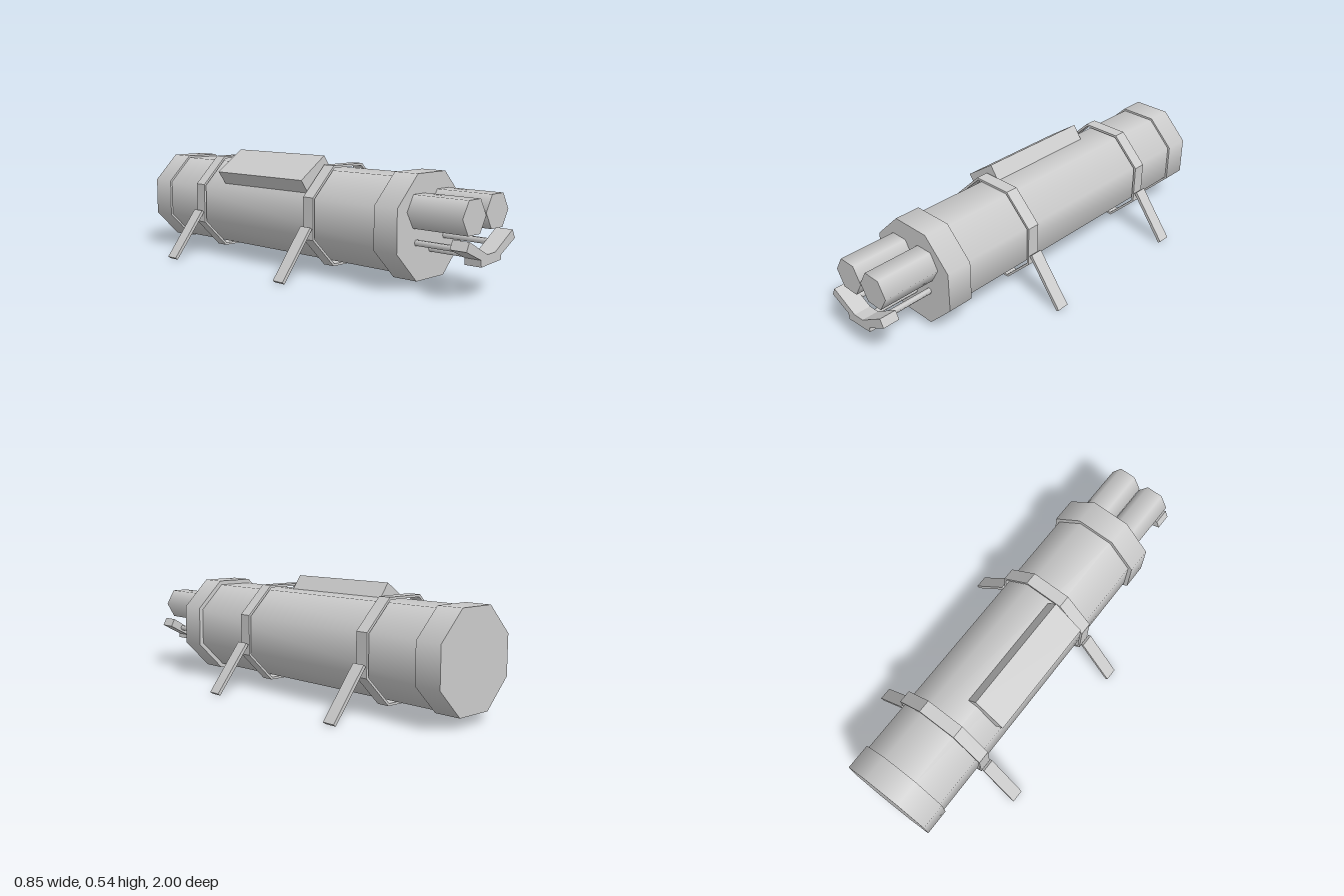
import * as THREE from 'three';

const AXIS_Y = 0.27; // height of the main body axis

export function createModel() {
  const model = new THREE.Group();
  const grey = new THREE.MeshStandardMaterial({ color: 0xcccccc });

  function add(name, geometry) {
    const mesh = new THREE.Mesh(geometry, grey);
    mesh.name = name;
    model.add(mesh);
    return mesh;
  }

  // Closed smooth-shaded prism along z, with a flat side at the top
  function prism(name, sides, radius, x, y, z0, z1) {
    const g = new THREE.CylinderGeometry(radius, radius, z1 - z0, sides, 1, false, Math.PI / sides);
    g.rotateX(Math.PI / 2);
    add(name, g).position.set(x, y, (z0 + z1) / 2);
  }

  // Straight extrusion along z between two depths
  function extrude(name, shape, z0, z1) {
    const g = new THREE.ExtrudeGeometry(shape, { depth: z1 - z0, bevelEnabled: false });
    g.translate(0, 0, z0);
    add(name, g);
  }

  const toRadius = (apothem) => apothem / Math.cos(Math.PI / 8);

  function octagon(apothem) {
    return Array.from({ length: 8 }, (_, i) => {
      const a = (i + 0.5) * Math.PI / 4;
      return new THREE.Vector2(Math.cos(a) * toRadius(apothem), AXIS_Y + Math.sin(a) * toRadius(apothem));
    });
  }

  // Main body with wider front collar and rear cap
  prism('body', 8, toRadius(0.21), 0, AXIS_Y, -0.9, 0.6);
  prism('frontCollar', 8, toRadius(0.23), 0, AXIS_Y, 0.57, 0.695);
  prism('rearCap', 8, toRadius(0.22), 0, AXIS_Y, -1, -0.875);

  // Twin hexagonal tubes on the front
  prism('rightTube', 6, 0.083, -0.083, 0.343, 0.68, 0.97);
  prism('leftTube', 6, 0.083, 0.082, 0.353, 0.68, 0.97);

  // Bent front bar, carried by three thin rods
  const bar = new THREE.Shape([
    [-0.178, 0.218], [-0.075, 0.172], [-0.072, 0.142], [0.073, 0.154], [0.071, 0.175],
    [0.175, 0.232], [0.155, 0.27], [0.027, 0.192], [-0.028, 0.189], [-0.16, 0.257],
  ].map(([x, y]) => new THREE.Vector2(x, y)));
  extrude('frontBar', bar, 0.92, 1);
  for (const [x, y] of [[-0.1, 0.208], [0, 0.17], [0.1, 0.217]]) {
    prism('barRod', 6, 0.014, x, y, 0.68, 0.93);
  }

  // Two strap rings, each with a pair of splayed legs
  for (const z of [0.185, -0.595]) {
    const ring = new THREE.Shape(octagon(0.234));
    ring.holes.push(new THREE.Path(octagon(0.223)));
    extrude('strapRing', ring, z - 0.031, z + 0.031);

    for (const side of [1, -1]) {
      const top = new THREE.Vector2(0.246, 0.23);
      const foot = new THREE.Vector2(0.418, 0.006);
      const leg = add(side > 0 ? 'leftLeg' : 'rightLeg',
        new THREE.BoxGeometry(0.016, top.distanceTo(foot), 0.062));
      leg.position.set(side * (top.x + foot.x) / 2, (top.y + foot.y) / 2, z);
      leg.rotation.z = side * Math.atan2(foot.x - top.x, top.y - foot.y);
    }
  }

  // Tilted box on the upper right shoulder of the body
  const tilt = 0.613, depth = 0.08;
  const box = add('shoulderBox', new THREE.BoxGeometry(0.182, depth, 0.59));
  box.rotation.z = tilt;
  box.position.set(
    -0.1575 + Math.sin(tilt) * depth / 2,
    0.4925 - Math.cos(tilt) * depth / 2,
    -0.155);

  return model;
}
